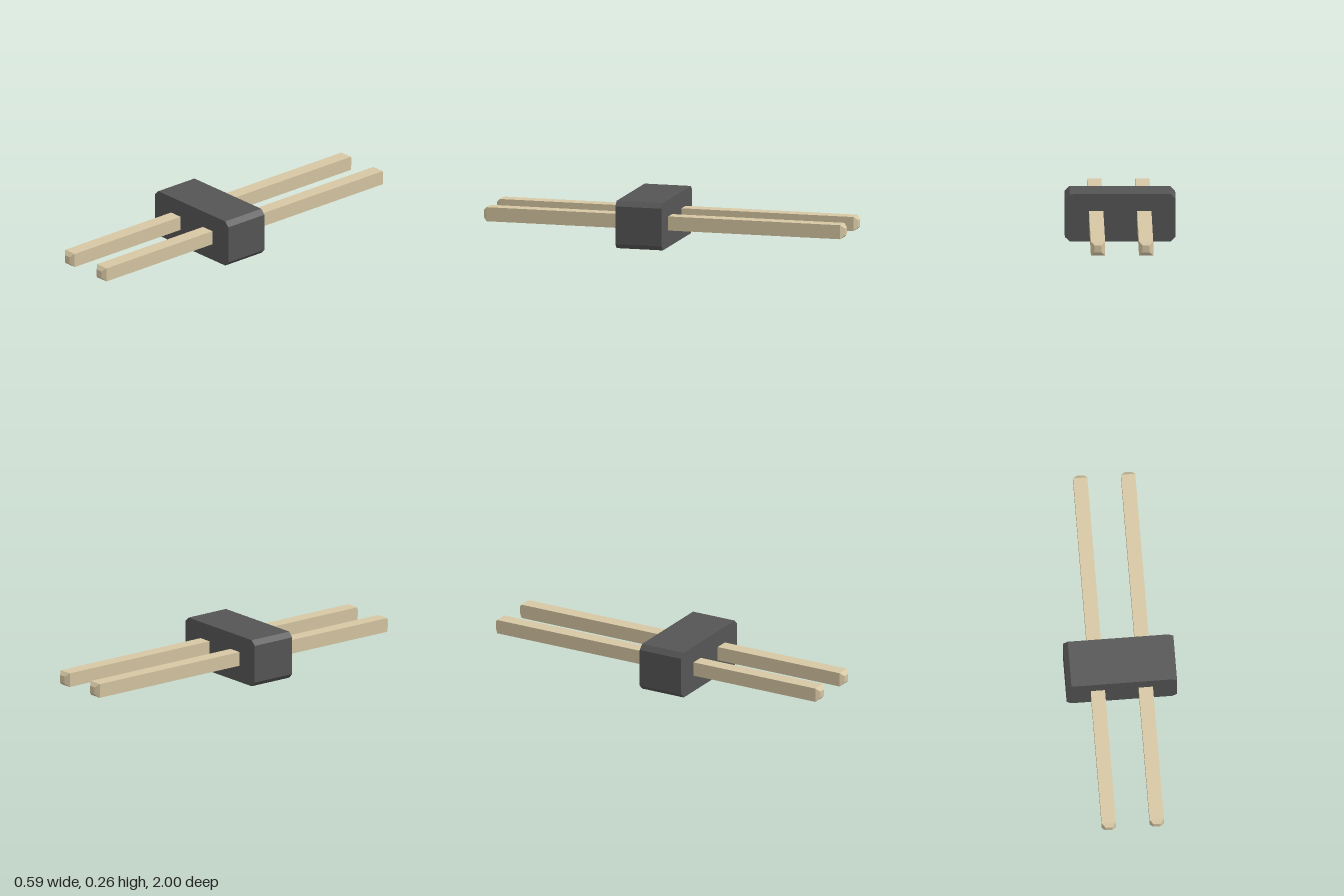
import * as THREE from 'three';

const PIN_X = 0.128;   // half the pitch between pins
const AXIS_Y = 0.128;  // height of the pin axes

function createBody(material) {
  // Rectangle with four cut corners, extruded along z
  const w = 0.295, h = 0.128, c = 0.026;
  const outline = new THREE.Shape([
    [-w + c, -h], [w - c, -h], [w, -h + c], [w, h - c],
    [w - c, h], [-w + c, h], [-w, h - c], [-w, -h + c],
  ].map(([x, y]) => new THREE.Vector2(x, y)));
  const geometry = new THREE.ExtrudeGeometry(outline, { depth: 0.256, bevelEnabled: false });
  const body = new THREE.Mesh(geometry, material);
  body.name = 'housing';
  body.position.set(0, AXIS_Y, -0.027);
  return body;
}

function createPinGeometry() {
  // Square bar whose two ends taper to a smaller square
  const tip = 0.019, taper = 0.019, tipLength = 0.02;
  const square = new THREE.Shape([
    new THREE.Vector2(-tip, -tip), new THREE.Vector2(tip, -tip),
    new THREE.Vector2(tip, tip), new THREE.Vector2(-tip, tip),
  ]);
  const depth = 2 - 2 * tipLength;
  return new THREE.ExtrudeGeometry(square, {
    depth, bevelEnabled: true, bevelSegments: 1, bevelSize: taper, bevelThickness: tipLength,
  }).translate(0, 0, -depth / 2);
}

export function createModel() {
  const plastic = new THREE.MeshStandardMaterial({ color: 0x555555, flatShading: true });
  const metal = new THREE.MeshStandardMaterial({ color: 0xd6c7a3, flatShading: true });

  const model = new THREE.Group();
  model.name = 'pinHeader';
  model.add(createBody(plastic));

  // Two pins running right through the housing
  const pinGeometry = createPinGeometry();
  for (const side of [-1, 1]) {
    const pin = new THREE.Mesh(pinGeometry, metal);
    pin.name = side > 0 ? 'leftPin' : 'rightPin';
    pin.position.set(side * PIN_X, AXIS_Y, 0);
    model.add(pin);
  }
  return model;
}
